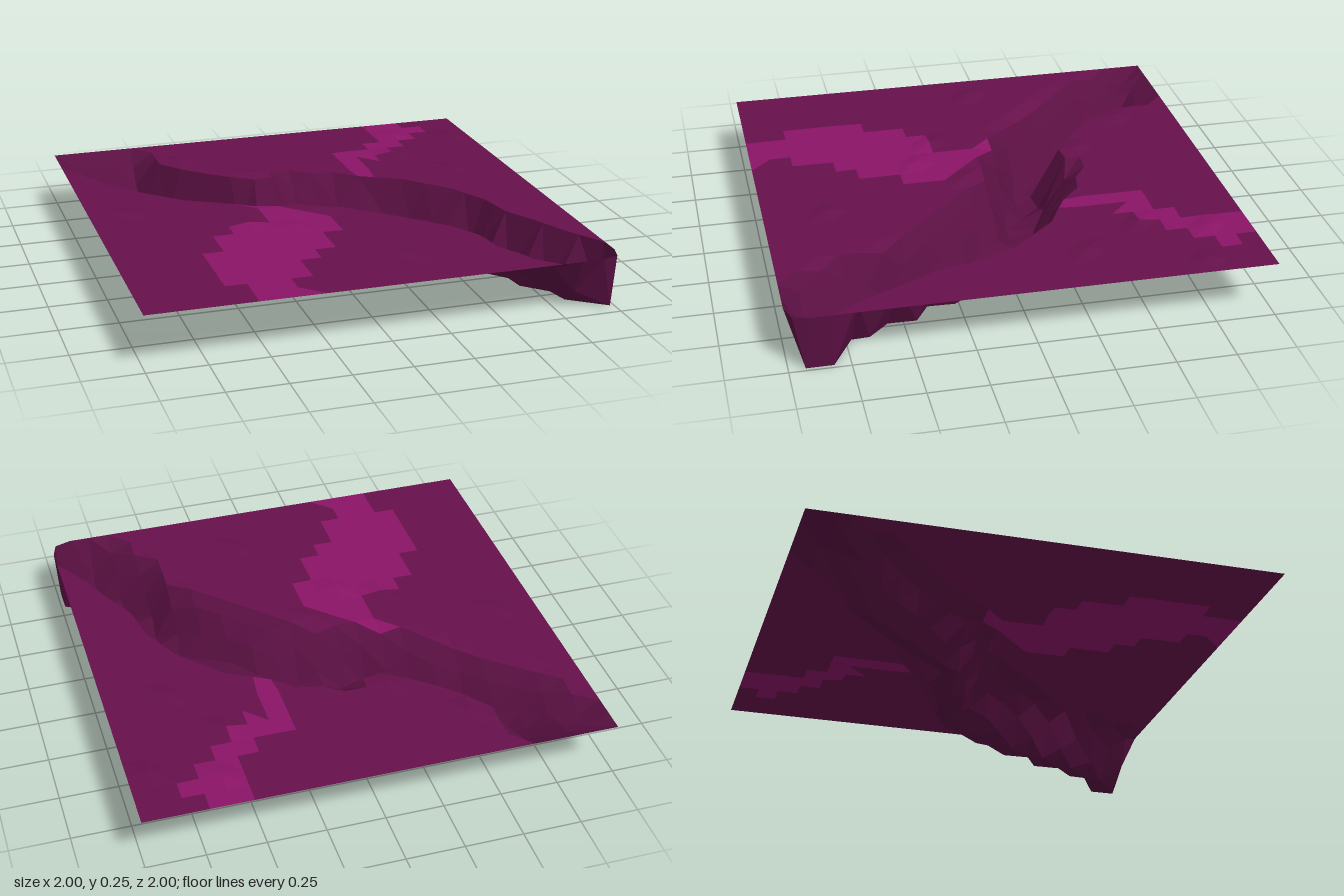
import * as THREE from 'three';

const N = 22, TOP = 0.24;

// Ravine centre line: x, z, depth
const floorLine = [[-1, -1, 0], [-0.82, -0.82, 0.08], [-0.64, -0.7, TOP], [-0.45, -0.51, TOP], [-0.25, -0.28, TOP],
  [0, -0.18, TOP], [0.3, -0.11, TOP], [0.5, 0.1, TOP], [0.63, 0.33, TOP], [0.75, 0.6, TOP], [0.88, 0.81, TOP], [1.1, 1.1, TOP]];
// Ravine rims: the steep one and the gentle one
const rimA = [[-1, -1], [-0.55, -1], [-0.55, -0.7], [-0.38, -0.53], [-0.2, -0.38], [0.0, -0.4], [0.18, -0.38], [0.3, -0.27],
  [0.45, -0.2], [0.63, 0], [0.72, 0.18], [0.75, 0.35], [0.83, 0.5], [0.91, 0.68], [1.01, 0.82], [1.2, 0.95]];
const rimB = [[-1, -1], [-1, -0.87], [-0.89, -0.58], [-0.64, -0.28], [-0.42, -0.13], [-0.25, -0.05], [-0.06, 0],
  [0.1, 0.1], [0.27, 0.26], [0.43, 0.4], [0.53, 0.56], [0.55, 0.75], [0.66, 0.9], [0.7, 1.2]];
const ravine = [...rimA, [1.2, 1.2], ...rimB.slice().reverse()];

// Lighter trail outlines on both banks
const trails = [
  [[-0.55, 1.01], [-0.52, 0.85], [-0.64, 0.82], [-0.64, 0.55], [-0.55, 0.35], [-0.42, 0.2], [-0.27, 0.12], [-0.33, -0.1],
    [-0.15, -0.1], [-0.14, 0.09], [0, 0.18], [-0.02, 0.36], [-0.12, 0.5], [-0.25, 0.64], [-0.27, 0.8], [-0.36, 0.9], [-0.3, 1.01]],
  [[0.25, -0.27], [0.25, -0.64], [0.44, -0.64], [0.54, -0.75], [0.54, -0.9], [0.63, -1], [0.73, -1], [0.73, -0.91],
    [0.82, -0.91], [0.82, -0.82], [0.68, -0.7], [0.54, -0.62], [0.46, -0.54], [0.36, -0.46], [0.36, -0.27]],
];

function inside(poly, x, z) {
  let hit = false;
  for (let i = 0, j = poly.length - 1; i < poly.length; j = i++) {
    const [xi, zi] = poly[i], [xj, zj] = poly[j];
    if ((zi > z) !== (zj > z) && x < ((xj - xi) * (z - zi)) / (zj - zi) + xi) hit = !hit;
  }
  return hit;
}

// Nearest point of a line, its distance, the side, and the third value interpolated there
function nearest(line, x, z) {
  let best = { d: Infinity };
  for (let i = 0; i + 1 < line.length; i++) {
    const [ax, az, ad = 0] = line[i], [bx, bz, bd = 0] = line[i + 1];
    const ux = bx - ax, uz = bz - az;
    const t = THREE.MathUtils.clamp(((x - ax) * ux + (z - az) * uz) / (ux * ux + uz * uz), 0, 1);
    const qx = ax + ux * t, qz = az + uz * t, d = Math.hypot(x - qx, z - qz);
    if (d < best.d) best = { d, x: qx, z: qz, depth: ad + (bd - ad) * t, side: ux * (z - qz) - uz * (x - qx) };
  }
  return best;
}

function seeded(seed) {
  return () => {
    seed = (seed * 16807) % 2147483647;
    return seed / 2147483647;
  };
}

export function createModel() {
  const group = new THREE.Group();
  group.name = 'ravineTerrain';
  const rand = seeded(41);
  const points = [], depths = [];

  // Grid of ground points: flat banks, one crisp rim, a roughened ravine closed at the border
  for (let j = 0; j <= N; j++) {
    for (let i = 0; i <= N; i++) {
      let x = -1 + (2 * i) / N, z = -1 + (2 * j) / N, y = TOP, depth = 0;
      const edge = i === 0 || j === 0 || i === N || j === N;
      const jx = (rand() - 0.5) * 0.04, jz = (rand() - 0.5) * 0.04, bump = rand();
      const a = nearest(rimA, x, z);
      if (edge) {
        // The front corner is slightly cut back
        if (i === N && j === N) [x, z] = [0.98, 0.975];
      } else if (a.d < 0.035) {
        [x, z] = [a.x, a.z];
      } else if (inside(ravine, x, z)) {
        const f = nearest(floorLine, x, z), steep = f.side < 0;
        const rim = steep ? a.d : nearest(rimB, x, z).d;
        depth = f.depth * (rim / (rim + Math.max(f.d - 0.06, 0))) ** (steep ? 1 : 1.5);
        const k = depth / TOP;
        // The end walls are steep
        x += i === N - 1 ? 0.074 * k : jx * k;
        z += j === N - 1 ? 0.022 * k : jz * k;
        y -= depth;
      } else {
        y += bump > 0.96 ? 0.014 : bump * 0.003;
      }
      points.push([x, y, z]);
      depths.push(depth);
    }
  }

  // Sort the triangles into ground, trail and ravine
  const parts = { ground: [], trail: [], ravine: [] };
  const addTriangle = (...ids) => {
    const cx = ids.reduce((s, k) => s + points[k][0], 0) / 3;
    const cz = ids.reduce((s, k) => s + points[k][2], 0) / 3;
    const name = ids.some((k) => depths[k] > 0.03) ? 'ravine'
      : trails.some((t) => inside(t, cx, cz)) ? 'trail' : 'ground';
    for (const k of ids) parts[name].push(...points[k]);
  };
  for (let j = 0; j < N; j++) {
    for (let i = 0; i < N; i++) {
      const a = j * (N + 1) + i, b = a + 1, c = a + N + 1, d = c + 1;
      addTriangle(a, c, d);
      addTriangle(a, d, b);
    }
  }

  const colors = { ground: 0x66114b, trail: 0x8a1466, ravine: 0x5a1042 };
  for (const [name, coords] of Object.entries(parts)) {
    const geometry = new THREE.BufferGeometry();
    geometry.setAttribute('position', new THREE.Float32BufferAttribute(coords, 3));
    geometry.computeVertexNormals();
    const material = new THREE.MeshStandardMaterial({ color: colors[name], flatShading: true, side: THREE.DoubleSide });
    const mesh = new THREE.Mesh(geometry, material);
    mesh.name = name;
    group.add(mesh);
  }
  return group;
}
